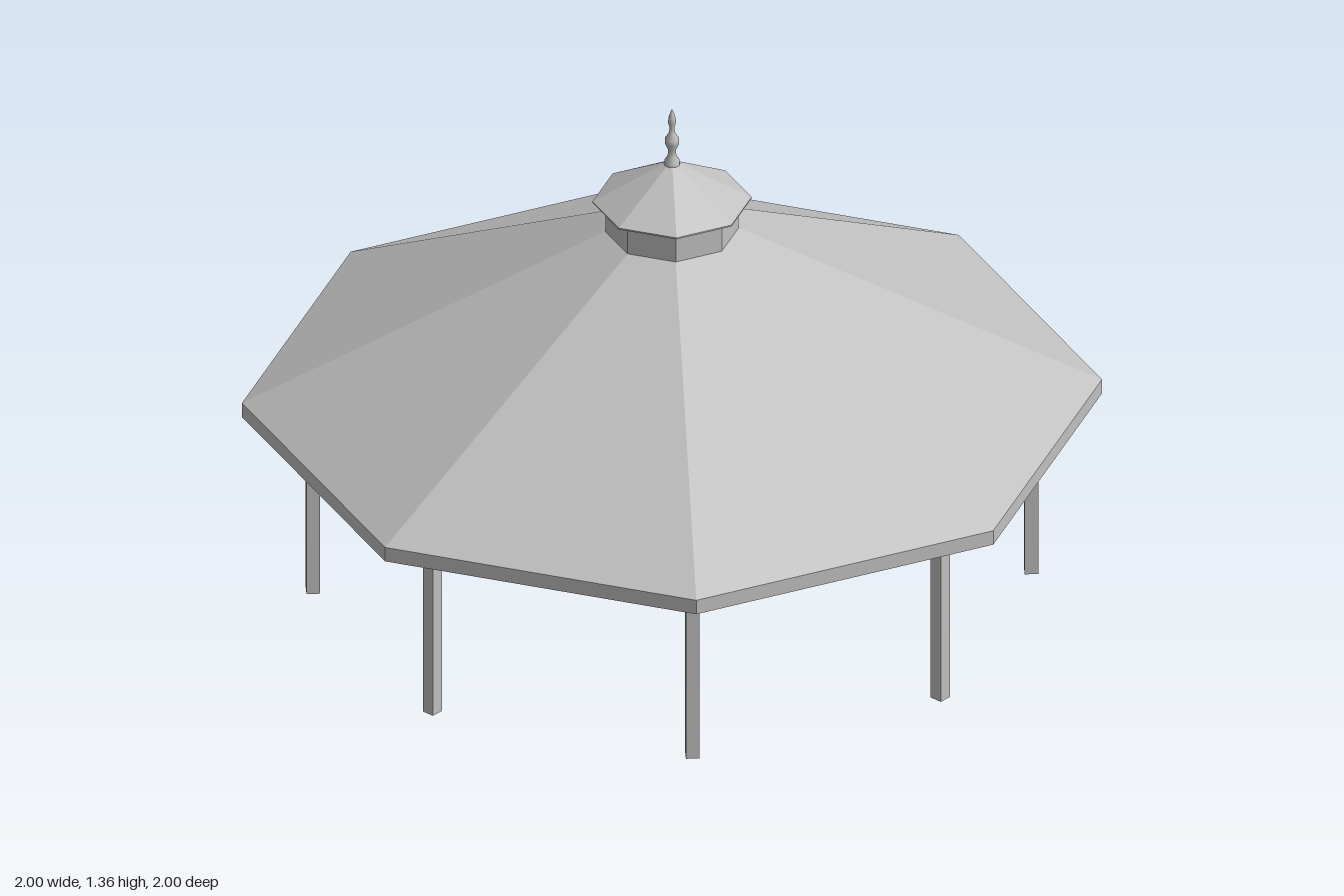
import * as THREE from 'three';

const SIDES = 8;
const CORNER = Math.PI / SIDES;
const APOTHEM = Math.cos(CORNER);

export function createModel() {
  const model = new THREE.Group();
  model.name = 'gazebo';
  const grey = new THREE.MeshStandardMaterial({ color: 0xc0c0c0 });
  grey.name = 'light grey';

  const add = (name, geometry, parent = model) => {
    const mesh = new THREE.Mesh(geometry, grey);
    mesh.name = name;
    parent.add(mesh);
    return mesh;
  };

  // Faceted octagonal solid from a profile of [apothem, height], flat sides facing the axes
  const octagon = (profile) => {
    const points = profile.map(([a, y]) => new THREE.Vector2(a / APOTHEM, y));
    const geometry = new THREE.LatheGeometry(points, SIDES, CORNER).toNonIndexed();
    geometry.computeVertexNormals();
    return geometry;
  };

  // Main roof: hollow shell with a vertical fascia
  add('roof', octagon([[0, 1.055], [1, 0.505], [1, 0.545], [0, 1.095]]));

  // Lantern and its small cap
  add('lantern', octagon([[0.155, 0.98], [0.155, 1.095]]));
  add('lanternRoof', octagon([[0, 1.093], [0.185, 1.093], [0.185, 1.097], [0, 1.21]]));

  // Turned finial
  const finial = [
    [0.02, 1.195], [0.019, 1.21], [0.011, 1.222], [0.01, 1.24], [0.018, 1.258],
    [0.018, 1.272], [0.008, 1.288], [0.006, 1.302], [0.01, 1.318], [0.009, 1.332],
    [0.004, 1.348], [0, 1.356],
  ].map(([r, y]) => new THREE.Vector2(r, y));
  add('finial', new THREE.LatheGeometry(finial, 16));

  // Ring beam joining the post heads
  add('ringBeam', octagon([
    [0.82, 0.45], [0.85, 0.45], [0.85, 0.507], [0.82, 0.507], [0.82, 0.45],
  ]));

  // Square posts, one at each corner, turned to face the centre
  const posts = new THREE.Group();
  posts.name = 'posts';
  model.add(posts);
  const postGeometry = new THREE.BoxGeometry(0.034, 0.508, 0.034);
  const radius = 0.835 / APOTHEM;
  for (let i = 0; i < SIDES; i++) {
    const angle = CORNER + (i * 2 * Math.PI) / SIDES;
    const post = add('post', postGeometry, posts);
    post.position.set(radius * Math.sin(angle), 0.254, radius * Math.cos(angle));
    post.rotation.y = angle;
  }

  return model;
}
